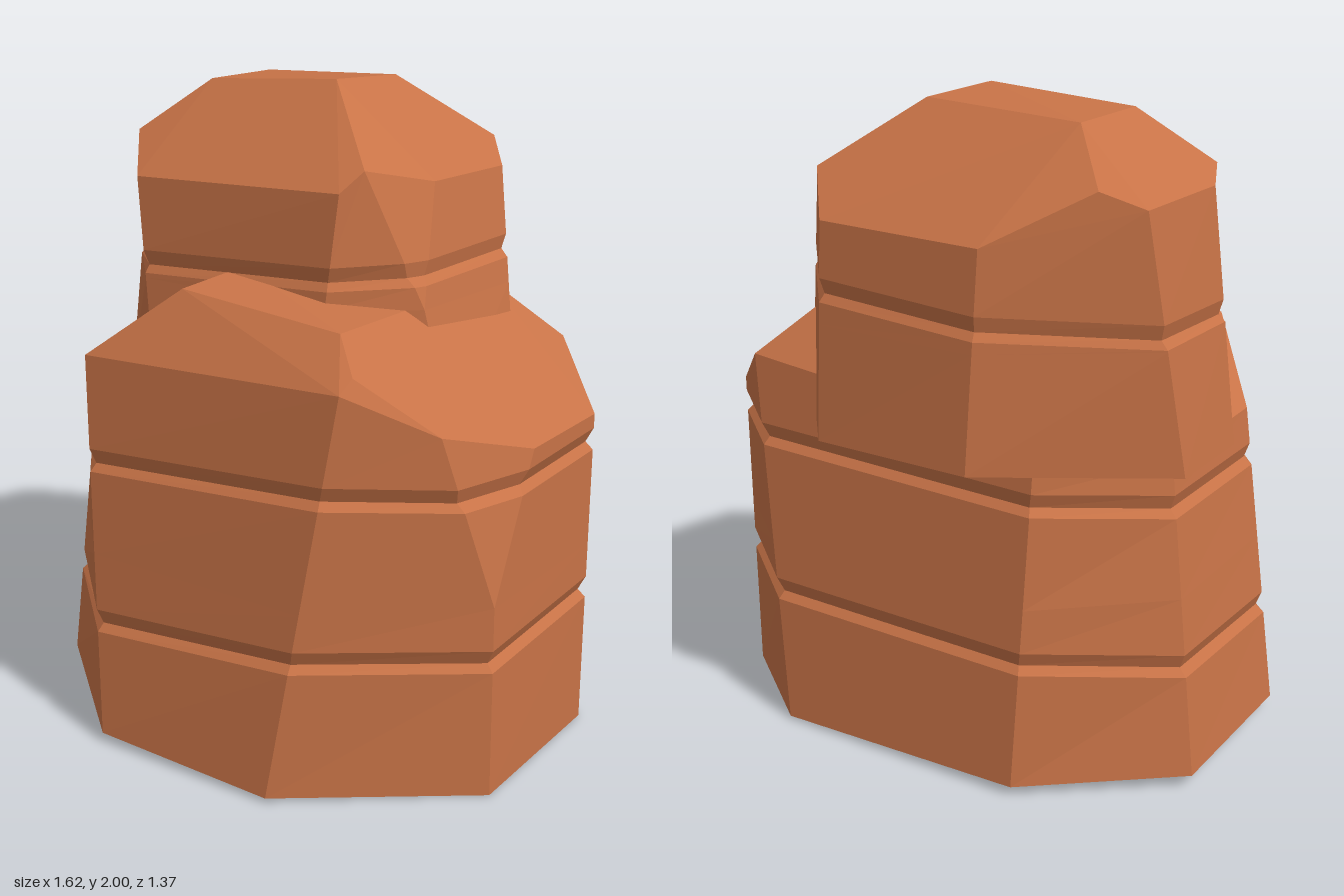
import * as THREE from 'three';
import { ConvexGeometry } from 'three/addons/geometries/ConvexGeometry.js';

const sandstone = new THREE.MeshStandardMaterial({ color: 0xc87347, flatShading: true });
sandstone.name = 'sandstone';

// Point on a polyline column at a given height
function pointAt(path, y) {
  let i = 0;
  while (i < path.length - 2 && y > path[i + 1][1]) i++;
  const [a, b] = [path[i], path[i + 1]];
  const t = (y - a[1]) / (b[1] - a[1]);
  return a.map((v, k) => v + (b[k] - v) * t);
}

// Walls: columns run counterclockwise seen from above; each groove is a V notch
function wallGeometry(columns, center, midY) {
  const rings = columns.map(({ path, grooves }) => {
    const ring = [path[0], pointAt(path, midY)];
    for (const g of grooves) {
      ring.push(pointAt(path, g - 0.035));
      const p = pointAt(path, g);
      ring.push([
        center[0] + (p[0] - center[0]) * 0.973, p[1] - 0.01,
        center[1] + (p[2] - center[1]) * 0.973,
      ]);
      ring.push(pointAt(path, g + 0.035));
    }
    ring.push(path[path.length - 1]);
    return ring.sort((a, b) => a[1] - b[1]);
  });
  const pos = [];
  const n = rings.length;
  for (let i = 0; i < n; i++) {
    const a = rings[i], b = rings[(i + 1) % n];
    for (let r = 0; r < a.length - 1; r++) {
      pos.push(...a[r], ...b[r], ...b[r + 1], ...a[r], ...b[r + 1], ...a[r + 1]);
    }
    pos.push(...rings[0][0], ...b[0], ...a[0]); // underside
  }
  const geometry = new THREE.BufferGeometry();
  geometry.setAttribute('position', new THREE.Float32BufferAttribute(pos, 3));
  geometry.computeVertexNormals();
  return geometry;
}

function makeBoulder(name, columns, center, midY, crown) {
  const group = new THREE.Group();
  group.name = name;
  const walls = new THREE.Mesh(wallGeometry(columns, center, midY), sandstone);
  walls.name = name + 'Walls';
  // Faceted crown over the wall tops
  const points = [...columns.map((c) => c.path[c.path.length - 1]), ...crown];
  const cap = new THREE.Mesh(
    new ConvexGeometry(points.map((p) => new THREE.Vector3(...p))), sandstone);
  cap.name = name + 'Crown';
  group.add(walls, cap);
  return group;
}

const column = (grooves, ...path) => ({ path, grooves });

export function createModel() {
  const model = new THREE.Group();
  model.name = 'rockFormation';

  // Large lower boulder; the first and last columns share an edge that splits higher up
  const lower = [
    column([0.43, 0.93], [0.81, 0, 0.25], [0.805, 0.6, 0.25], [0.8, 1.02, 0.04]),
    column([0.45, 0.94], [0.8, 0, -0.34], [0.795, 1.02, -0.35]),
    column([0.44, 0.94], [0.45, 0.01, -0.61], [0.58, 1.19, -0.54]),
    column([0.43, 0.92], [-0.38, 0.03, -0.6], [-0.42, 1.1, -0.54]),
    column([0.39, 0.88], [-0.81, 0.04, -0.27], [-0.7, 1.02, -0.25]),
    column([0.37, 0.87], [-0.81, 0.04, 0.29], [-0.69, 1.02, 0.26]),
    column([0.39, 0.89], [-0.33, 0.03, 0.68], [-0.45, 1.21, 0.56]),
    column([0.45, 0.95], [0.3, 0.015, 0.67], [0.48, 1.25, 0.56]),
    column([0.43, 0.93], [0.81, 0, 0.25], [0.805, 0.6, 0.25], [0.69, 1.12, 0.37]),
  ];
  model.add(makeBoulder('lowerBoulder', lower, [0, 0], 0.6, [
    [-0.18, 1.425, 0.42], [0.4, 1.385, 0.44], [0.49, 1.29, 0.51],
    [0.39, 1.37, -0.4], [-0.16, 1.445, 0.15], [-0.16, 1.42, -0.3],
  ]));

  // Smaller upper boulder, set back and to one side
  const upper = [
    column([1.48], [0.52, 1.03, 0.04], [0.44, 1.38, 0.07], [0.38, 1.73, -0.07]),
    column([1.49], [0.53, 1.03, -0.33], [0.4, 1.73, -0.43]),
    column([1.48], [0.22, 1.03, -0.69], [0.2, 1.68, -0.67]),
    column([1.45], [-0.29, 1.03, -0.69], [-0.32, 1.67, -0.665]),
    column([1.42], [-0.78, 1.01, -0.33], [-0.69, 1.77, -0.42]),
    column([1.41], [-0.78, 1.01, -0.02], [-0.7, 1.77, -0.05]),
    column([1.43], [-0.42, 1.02, 0.28], [-0.54, 1.69, 0.2]),
    column([1.47], [0.18, 1.02, 0.28], [0.24, 1.72, 0.22]),
    column([1.48], [0.52, 1.03, 0.04], [0.44, 1.38, 0.07], [0.28, 1.78, 0.15]),
  ];
  model.add(makeBoulder('upperBoulder', upper, [-0.14, -0.21], 1.38, [
    [-0.46, 1.97, -0.08], [0.02, 2, -0.08], [0.05, 1.99, -0.36], [-0.46, 1.97, -0.38],
    [-0.65, 1.81, 0.06], [0.3, 1.8, -0.55], [-0.58, 1.82, -0.49],
  ]));
  return model;
}
